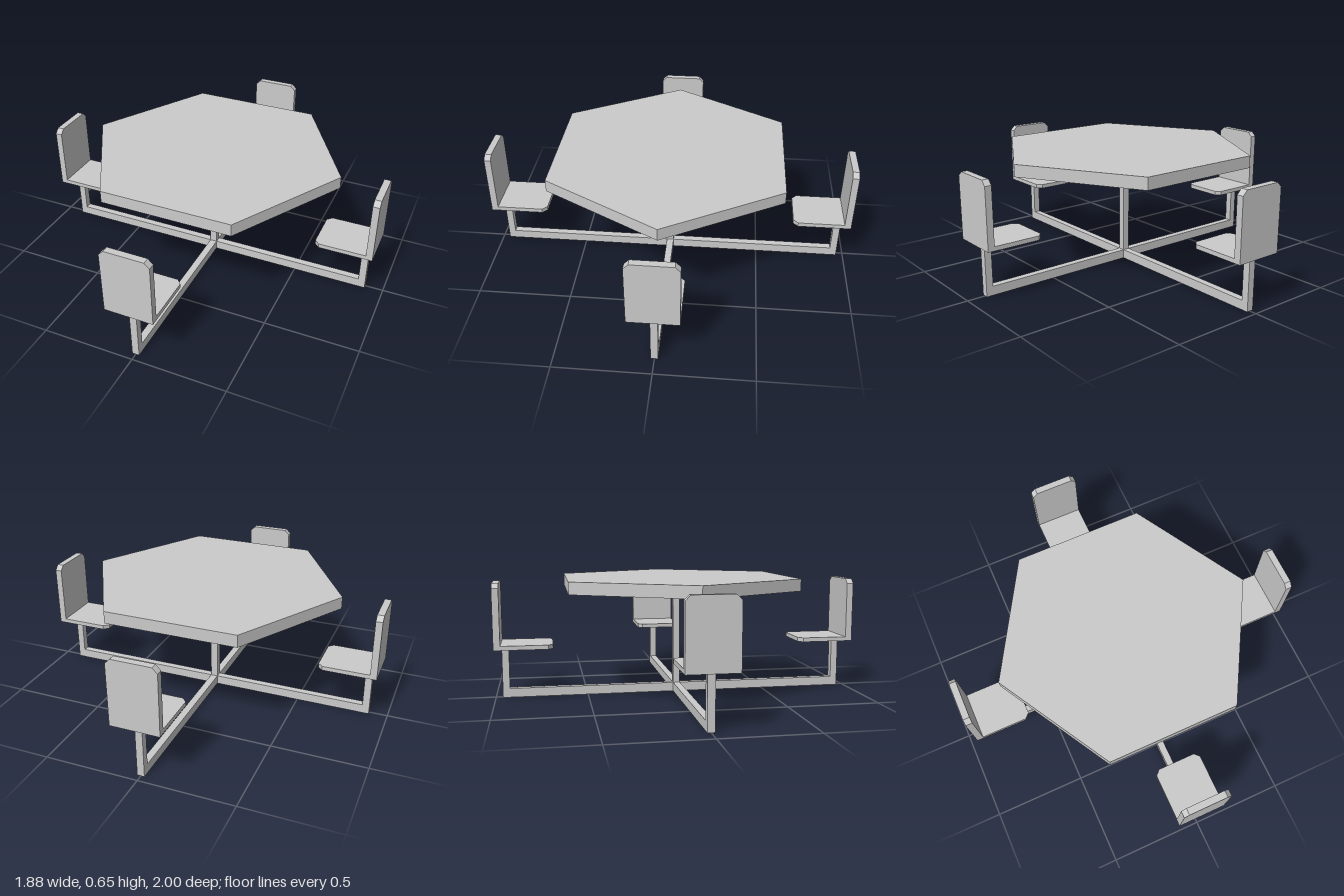
import * as THREE from 'three';

const material = new THREE.MeshStandardMaterial({
  color: 0xcccccc, flatShading: true, side: THREE.DoubleSide,
});

const DOWN = new THREE.Vector3(0, -1, 0);
const UP = new THREE.Vector3(0, 1, 0);
const INWARD = new THREE.Vector3(0, 0, -1);
const OUTWARD = new THREE.Vector3(0, 0, 1);

// Hollow shell: drops the faces that look in the given directions
function openShell(geometry, ...openSides) {
  const flat = geometry.index ? geometry.toNonIndexed() : geometry;
  const source = flat.attributes.position;
  const kept = [];
  const triangle = new THREE.Triangle(), normal = new THREE.Vector3();
  for (let i = 0; i < source.count; i += 3) {
    triangle.setFromAttributeAndIndices(source, i, i + 1, i + 2);
    triangle.getNormal(normal);
    if (openSides.some((side) => normal.dot(side) > 0.99)) continue;
    for (const corner of [triangle.a, triangle.b, triangle.c]) kept.push(...corner.toArray());
  }
  const shell = new THREE.BufferGeometry();
  shell.setAttribute('position', new THREE.Float32BufferAttribute(kept, 3));
  shell.computeVertexNormals();
  return shell;
}

function addMesh(parent, name, geometry, x = 0, y = 0, z = 0) {
  const mesh = new THREE.Mesh(geometry, material);
  mesh.name = name;
  mesh.position.set(x, y, z);
  parent.add(mesh);
}

// Panel standing on y = 0 with its two upper corners cut off
function panel(width, height, cut, depth) {
  const w = width / 2;
  const shape = new THREE.Shape([
    [-w, 0], [w, 0], [w, height - cut], [w - cut, height], [-w + cut, height], [-w, height - cut],
  ].map(([x, y]) => new THREE.Vector2(x, y)));
  return new THREE.ExtrudeGeometry(shape, { depth, bevelEnabled: false });
}

const BAR = 0.038, BAR_HEIGHT = 0.049;

// One arm of the frame with its seat, pointing along +z and ending at reach
function createSeatArm(reach) {
  const arm = new THREE.Group();
  const seatY = 0.278, backThickness = 0.036;
  const legOuter = reach - 0.038;

  // Channel-shaped floor bar, open below and toward the post
  const barLength = legOuter - BAR / 2;
  const bar = openShell(new THREE.BoxGeometry(BAR, BAR_HEIGHT, barLength), DOWN, INWARD);
  addMesh(arm, 'floorBar', bar, 0, BAR_HEIGHT / 2, (legOuter + BAR / 2) / 2);

  const leg = openShell(new THREE.BoxGeometry(BAR, seatY - BAR_HEIGHT, BAR), DOWN, UP);
  addMesh(arm, 'seatLeg', leg, 0, (seatY + BAR_HEIGHT) / 2, legOuter - BAR / 2);

  // Seat tray, open below, its cut corners toward the table
  const seat = panel(0.26, 0.313 - backThickness, 0.026, 0.023).rotateX(-Math.PI / 2);
  addMesh(arm, 'seat', openShell(seat, DOWN, OUTWARD), 0, seatY, reach - backThickness);

  const back = openShell(panel(0.26, 0.354, 0.026, backThickness), DOWN);
  addMesh(arm, 'backrest', back, 0, seatY, reach - backThickness);
  return arm;
}

export function createModel() {
  const model = new THREE.Group();
  model.name = 'picnicTable';

  // Hexagonal top with a skirt, open below, corners on the x axis
  const top = new THREE.CylinderGeometry(0.704, 0.704, 0.065, 6, 1, false, Math.PI / 2);
  addMesh(model, 'tableTop', openShell(top, DOWN), 0, 0.6195, 0);

  // Central post
  const postTop = 0.6;
  const post = openShell(new THREE.BoxGeometry(BAR, postTop - BAR_HEIGHT, BAR), DOWN, UP);
  addMesh(model, 'post', post, 0, (postTop + BAR_HEIGHT) / 2, 0);

  // Four seats; the front and back ones stand a little further out
  ['front', 'left', 'back', 'right'].forEach((side, i) => {
    const arm = createSeatArm(i % 2 ? 0.94 : 1);
    arm.name = side + 'SeatArm';
    arm.rotation.y = i * Math.PI / 2;
    model.add(arm);
  });
  return model;
}
